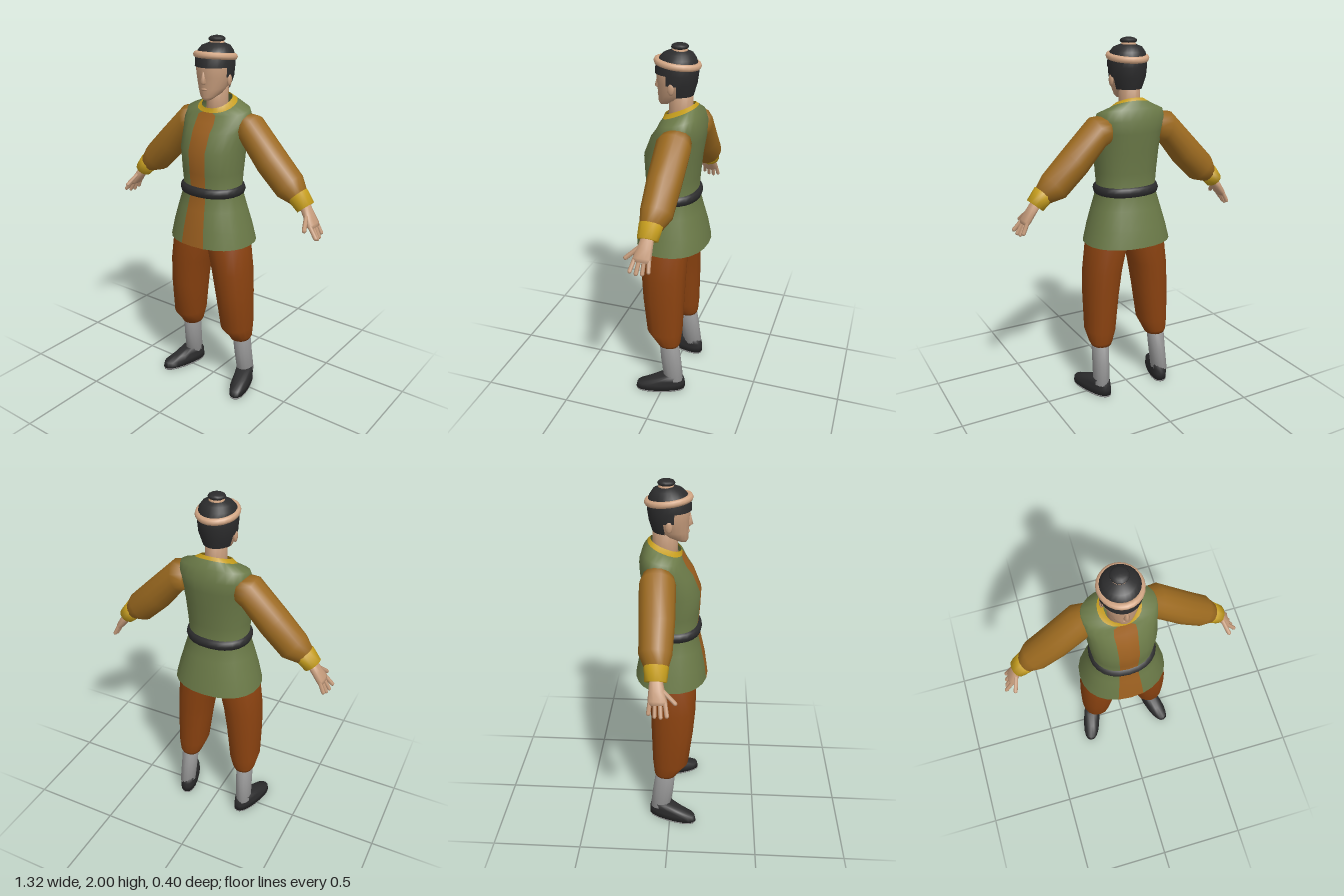
import * as THREE from 'three';

const mat = (name, color, side = THREE.DoubleSide) => {
  const m = new THREE.MeshStandardMaterial({ color, side });
  m.name = name;
  return m;
};

// Horizontal ring: height, half width, front z, back z, centre x, slope of y along z
const H = (y, rx, zf, zb, cx = 0, tilt = 0) => ({
  c: new THREE.Vector3(cx, y, (zf + zb) / 2),
  u: new THREE.Vector3(rx, 0, 0),
  v: new THREE.Vector3(0, tilt * (zf - zb) / 2, (zf - zb) / 2),
});

// Arm ring: centre, radius in the xy plane along an angle in degrees, radius along z
const A = (x, y, z, deg, r, rz) => {
  const t = THREE.MathUtils.degToRad(deg);
  return {
    c: new THREE.Vector3(x, y, z),
    u: new THREE.Vector3(Math.cos(t) * r, Math.sin(t) * r, 0),
    v: new THREE.Vector3(0, 0, -rz),
  };
};

// Skin a list of rings; pick(i, j) gives the material slot of a face, or -1 to leave it out
function loft(rings, { seg = 14, p = 1, start = true, end = true, pick = () => 0 } = {}) {
  const pos = [], slots = [];
  const soft = (s) => Math.sign(s) * Math.abs(s) ** p;
  for (const r of rings) {
    for (let j = 0; j < seg; j++) {
      const a = (j / seg) * Math.PI * 2;
      const q = r.c.clone().addScaledVector(r.u, soft(Math.sin(a))).addScaledVector(r.v, soft(Math.cos(a)));
      pos.push(q.x, q.y, q.z);
    }
  }
  const add = (s, ...ids) => (slots[s] ??= []).push(...ids);
  const n = rings.length;
  for (let i = 0; i < n - 1; i++) {
    for (let j = 0; j < seg; j++) {
      const s = pick(i, j);
      if (s < 0) continue;
      const a = i * seg + j, b = i * seg + (j + 1) % seg;
      add(s, a, b, b + seg, a, b + seg, a + seg);
    }
  }
  for (const [on, i] of [[start, 0], [end, n - 1]]) {
    if (!on) continue;
    const k = pos.length / 3, { c } = rings[i];
    pos.push(c.x, c.y, c.z);
    for (let j = 0; j < seg; j++) {
      const a = i * seg + j, b = i * seg + (j + 1) % seg;
      if (i) add(0, a, b, k); else add(0, b, a, k);
    }
  }
  const g = new THREE.BufferGeometry();
  g.setAttribute('position', new THREE.Float32BufferAttribute(pos, 3));
  g.setIndex(slots.flat());
  let from = 0;
  slots.forEach((s, k) => { g.addGroup(from, s.length, k); from += s.length; });
  g.computeVertexNormals();
  return g;
}

// Rounded finger between two points
function finger(a, b, r) {
  const from = new THREE.Vector3(...a), to = new THREE.Vector3(...b), d = to.clone().sub(from);
  const g = new THREE.CapsuleGeometry(r, d.length(), 2, 6);
  g.applyQuaternion(new THREE.Quaternion().setFromUnitVectors(new THREE.Vector3(0, 1, 0), d.normalize()));
  return g.translate(...from.add(to).multiplyScalar(0.5).toArray());
}

function mirrorX(geo) {
  const g = geo.clone().scale(-1, 1, 1), ix = g.index;
  for (let i = 0; i < ix.count; i += 3) {
    const t = ix.getX(i);
    ix.setX(i, ix.getX(i + 1));
    ix.setX(i + 1, t);
  }
  return g;
}

export function createModel() {
  const green = mat('tunic green', 0x6b7a48), stripe = mat('stripe brown', 0x9c6020);
  const ochre = mat('sleeve ochre', 0x9c6a20), gold = mat('trim gold', 0xc49c1c);
  const rust = mat('trouser rust', 0x8a4210), black = mat('black', 0x2c2c2d);
  const grey = mat('sock grey', 0x979797), skin = mat('skin', 0xc69c7c), tan = mat('headband tan', 0xd2a684);

  const model = new THREE.Group();
  model.name = 'figure';
  const put = (name, geo, m) => {
    const mesh = new THREE.Mesh(geo, m);
    mesh.name = name;
    model.add(mesh);
  };
  const pair = (name, geo, m) => {
    put('left' + name, geo, m);
    put('right' + name, mirrorX(geo), m);
  };

  // Tunic with front stripe and collar
  const tunic = [
    H(0.905, 0.245, 0.2, -0.2), H(1.0, 0.222, 0.187, -0.182), H(1.1, 0.193, 0.165, -0.155),
    H(1.2, 0.163, 0.14, -0.13), H(1.3, 0.17, 0.15, -0.138), H(1.42, 0.18, 0.155, -0.15),
    H(1.52, 0.187, 0.115, -0.166), H(1.575, 0.2, 0.083, -0.168, 0, -0.1),
    H(1.625, 0.185, 0.062, -0.15, 0, -0.2), H(1.65, 0.108, 0.055, -0.125, 0, -0.4),
    H(1.668, 0.078, 0.048, -0.11, 0, -0.4),
  ];
  const last = tunic.length - 2;
  put('tunic', loft(tunic, {
    seg: 24, p: 0.9, start: false, end: false,
    pick: (i, j) => (i === last ? 2 : j === 0 || j === 23 ? 1 : 0),
  }), [green, stripe, gold]);

  // Belt
  put('belt', loft([
    H(1.172, 0.16, 0.14, -0.13), H(1.178, 0.175, 0.157, -0.145), H(1.2, 0.181, 0.163, -0.151),
    H(1.22, 0.175, 0.157, -0.145), H(1.228, 0.16, 0.14, -0.13),
  ], { seg: 24, p: 0.9, start: false, end: false }), black);

  // Sleeves and cuffs
  pair('Sleeve', loft([
    A(0.15, 1.54, -0.06, 85, 0.075, 0.08), A(0.205, 1.527, -0.06, 70, 0.086, 0.093),
    A(0.335, 1.385, -0.055, 47, 0.087, 0.09), A(0.45, 1.272, -0.055, 50, 0.085, 0.083),
    A(0.515, 1.222, -0.046, 50, 0.05, 0.055),
  ]), ochre);
  pair('Cuff', loft([
    A(0.503, 1.238, -0.046, 45, 0.056, 0.062), A(0.553, 1.182, -0.046, 40, 0.048, 0.055),
  ], { seg: 12 }), gold);

  // Hands
  pair('Palm', loft([
    A(0.545, 1.195, -0.045, 35, 0.026, 0.032), A(0.578, 1.145, -0.04, 30, 0.023, 0.04),
    A(0.605, 1.105, -0.035, 28, 0.021, 0.048), A(0.614, 1.088, -0.035, 28, 0.013, 0.045),
  ], { seg: 10, p: 0.85 }), skin);
  for (let k = 0; k < 4; k++) {
    const z = -0.071 + k * 0.024;
    const drop = k === 0 || k === 3 ? 0.012 : 0;
    pair('Finger' + (k + 1), finger([0.606, 1.105, z], [0.632 + k * 0.006, 1.04 + drop, z - 0.006 + k * 0.006], 0.011), skin);
  }
  pair('Thumb', finger([0.578, 1.15, -0.012], [0.603, 1.095, 0.05], 0.012), skin);

  // Trousers, socks and shoes
  pair('TrouserLeg', loft([
    H(0.3, 0.055, 0.035, -0.085, 0.177), H(0.32, 0.065, 0.045, -0.092, 0.177),
    H(0.39, 0.085, 0.103, -0.1, 0.17), H(0.6, 0.098, 0.128, -0.106, 0.158),
    H(0.75, 0.107, 0.14, -0.11, 0.143), H(0.9, 0.117, 0.14, -0.112, 0.116),
    H(1.05, 0.09, 0.11, -0.1, 0.085),
  ], { seg: 16, p: 0.92 }), rust);
  pair('Sock', loft([
    H(0.07, 0.045, 0, -0.115, 0.193), H(0.2, 0.046, 0.02, -0.1, 0.187), H(0.33, 0.05, 0.03, -0.08, 0.182),
  ]), grey);
  const foot = (rings) => loft(rings, { seg: 18, p: 0.85 }).rotateY(0.3).translate(0.215, 0, 0.013);
  pair('Shoe', foot([
    H(0.01, 0.052, 0.148, -0.14), H(0.045, 0.051, 0.14, -0.14),
    H(0.07, 0.047, 0.07, -0.136), H(0.1, 0.045, 0, -0.122),
  ]), black);
  pair('Sole', foot([H(0, 0.05, 0.146, -0.138), H(0.0095, 0.0525, 0.149, -0.141)]), grey);

  // Neck and head
  put('neck', loft([
    H(1.57, 0.062, 0.035, -0.1), H(1.67, 0.053, 0.03, -0.1), H(1.77, 0.055, 0.03, -0.1),
  ]), skin);
  put('head', loft([
    H(1.685, 0.024, 0.075, 0.02, 0, -0.15), H(1.71, 0.052, 0.083, -0.05, 0, -0.2),
    H(1.745, 0.073, 0.085, -0.085, 0, -0.1), H(1.8, 0.088, 0.088, -0.105),
    H(1.85, 0.093, 0.094, -0.112), H(1.9, 0.088, 0.086, -0.11),
  ], { seg: 20, p: 0.95 }), skin);
  put('nose', loft([
    H(1.762, 0.008, 0.09, 0.07), H(1.775, 0.016, 0.107, 0.07),
    H(1.8, 0.01, 0.1, 0.07), H(1.83, 0.008, 0.093, 0.07),
  ], { seg: 8 }), skin);
  put('mouth', new THREE.SphereGeometry(1, 10, 6).scale(0.02, 0.008, 0.01).translate(0, 1.738, 0.08), skin);
  pair('Ear', new THREE.SphereGeometry(1, 8, 6).scale(0.01, 0.032, 0.018).translate(0.093, 1.785, -0.01), skin);

  // Hair open around the face, headband and topknot
  put('hair', loft([
    H(1.738, 0.076, 0.085, -0.1), H(1.8, 0.097, 0.095, -0.118), H(1.85, 0.101, 0.1, -0.125),
    H(1.89, 0.1, 0.097, -0.125), H(1.925, 0.093, 0.08, -0.112), H(1.95, 0.075, 0.055, -0.095),
    H(1.966, 0.035, 0.015, -0.06),
  ], {
    seg: 24, start: false,
    pick: (i, j) => {
      const fromFront = Math.min(j, 23 - j);
      return (i === 0 && fromFront < 7) || (i === 1 && fromFront < 5) ? -1 : 0;
    },
  }), black);
  put('headband', new THREE.TorusGeometry(0.1, 0.018, 8, 24).rotateX(Math.PI / 2)
    .scale(0.94, 1, 1.05).rotateX(-0.12).translate(0, 1.9, -0.016), tan);
  put('topknotTie', new THREE.TorusGeometry(0.03, 0.011, 6, 14).rotateX(Math.PI / 2).translate(0, 1.963, -0.028), tan);
  put('topknot', new THREE.SphereGeometry(1, 12, 8).scale(0.045, 0.018, 0.045).translate(0, 1.982, -0.028), black);

  return model;
}
